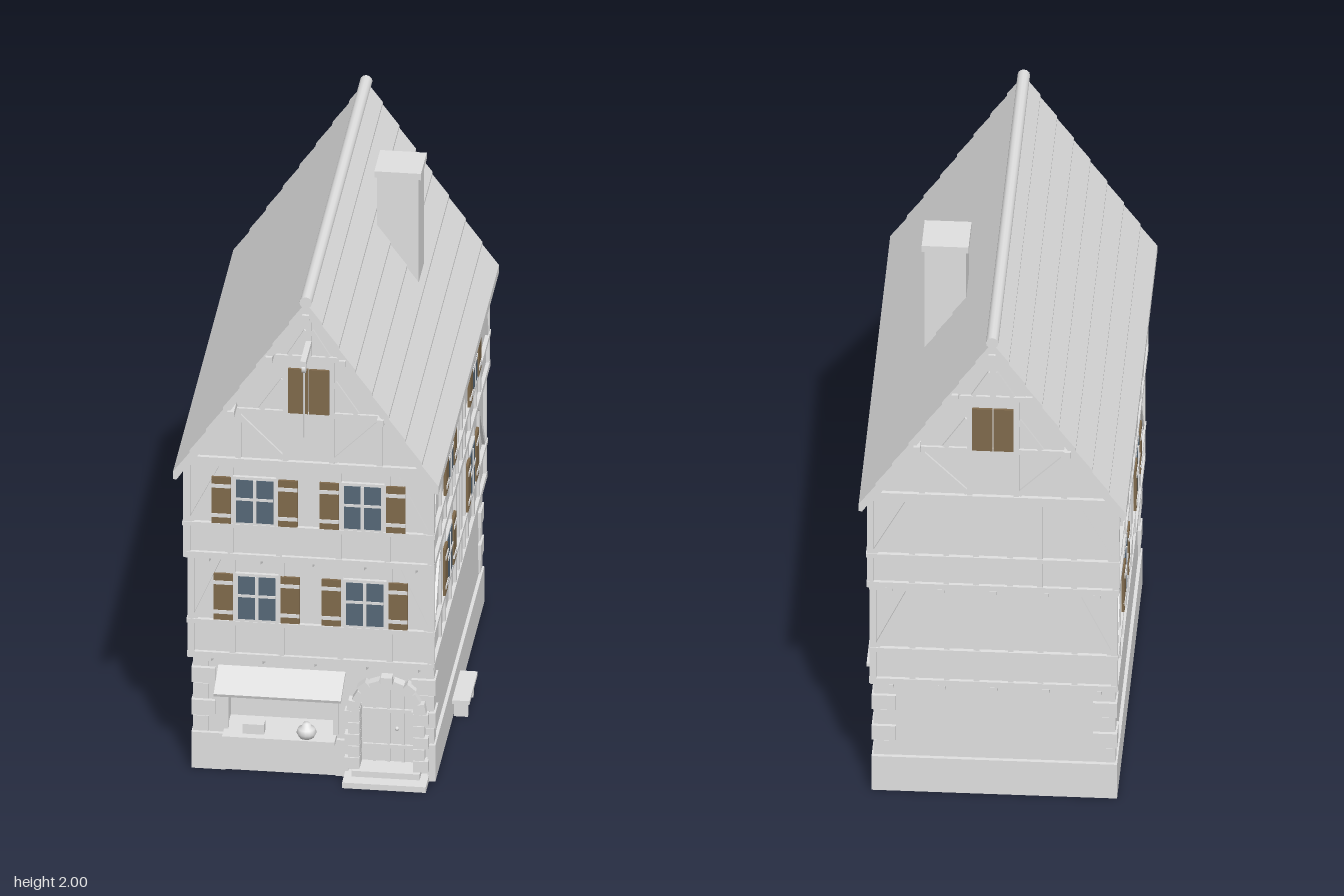
import * as THREE from 'three';

const mat = (name, color) => Object.assign(new THREE.MeshStandardMaterial({ color }), { name });

export function createModel() {
  const grey = mat('paleGrey', 0xe0e0e0);
  const brown = mat('shutterBrown', 0x806a4c);
  const glass = mat('windowGlass', 0x566878);
  const house = new THREE.Group();
  house.name = 'timberHouse';
  const CX = -0.014; // centre line of the house

  const add = (parent, name, geo, m = grey) => {
    const mesh = new THREE.Mesh(geo, m);
    mesh.name = name;
    parent.add(mesh);
    return mesh;
  };
  // box given by its minimum and maximum corners
  const box = (parent, name, x0, x1, y0, y1, z0, z1, m) => {
    const b = add(parent, name, new THREE.BoxGeometry(x1 - x0, y1 - y0, z1 - z0), m);
    b.position.set((x0 + x1) / 2, (y0 + y1) / 2, (z0 + z1) / 2);
    return b;
  };
  // timber between two points on a wall plane, half sunk into the wall
  const beam = (parent, name, u0, v0, u1, v1, w = 0.02, d = 0.02) => {
    const b = add(parent, name, new THREE.BoxGeometry(Math.hypot(u1 - u0, v1 - v0), w, d));
    b.position.set((u0 + u1) / 2, (v0 + v1) / 2, 0);
    b.rotation.z = Math.atan2(v1 - v0, u1 - u0);
  };
  const wallFace = (name, x, z, turn) => {
    const g = new THREE.Group();
    g.name = name;
    g.position.set(x, 0, z);
    g.rotation.y = turn;
    house.add(g);
    return g;
  };
  const extrude = (shape, depth) =>
    new THREE.ExtrudeGeometry(shape, { depth, bevelEnabled: false, curveSegments: 10 });

  // window with cross bars and a pair of strapped shutters
  const addWindow = (wall, u, v) => {
    const g = new THREE.Group();
    g.name = 'window';
    g.position.set(u, v, 0);
    wall.add(g);
    box(g, 'windowFrame', -0.077, 0.077, -0.095, 0.095, 0, 0.013);
    box(g, 'windowGlass', -0.066, 0.066, -0.084, 0.084, 0.01, 0.015, glass);
    box(g, 'windowMullion', -0.006, 0.006, -0.084, 0.084, 0.012, 0.018);
    box(g, 'windowTransom', -0.066, 0.066, 0.004, 0.014, 0.012, 0.018);
    for (const s of [-1, 1]) {
      const c = s * 0.118;
      box(g, 'shutter', c - 0.034, c + 0.034, -0.09, 0.092, 0.008, 0.018, brown);
      for (const y of [-0.058, 0.058])
        box(g, 'shutterStrap', c - 0.034, c + 0.034, y - 0.007, y + 0.007, 0.015, 0.021);
    }
  };

  // ground floor
  box(house, 'plinth', CX - 0.432, CX + 0.432, 0, 0.142, -0.77, 0.49);
  box(house, 'groundWall', CX - 0.42, CX + 0.42, 0.142, 0.48, -0.755, 0.49);
  const front = new THREE.Shape([[-0.434, 0.001], [0.406, 0.001], [0.406, 0.48], [-0.434, 0.48]]
    .map(p => new THREE.Vector2(...p)));
  front.holes.push(new THREE.Path([[-0.32, 0.01], [-0.32, 0.38], [0.06, 0.38], [0.06, 0.01]]
    .map(p => new THREE.Vector2(...p))));
  const DX = 0.247, SPRING = 0.27;
  const arch = new THREE.Path();
  arch.moveTo(DX - 0.1, 0.01);
  arch.lineTo(DX + 0.1, 0.01);
  arch.lineTo(DX + 0.1, SPRING);
  arch.absarc(DX, SPRING, 0.1, 0, Math.PI, false);
  arch.lineTo(DX - 0.1, 0.01);
  front.holes.push(arch);
  add(house, 'groundFront', extrude(front, 0.105)).position.z = 0.49;
  for (const [a, b] of [[CX - 0.432, -0.325], [0.065, 0.11], [0.39, CX + 0.432]])
    box(house, 'frontPlinth', a, b, 0, 0.142, 0.49, 0.61);

  // corner stones
  for (const s of [-1, 1]) for (const [z, t] of [[0.61, -1], [-0.768, 1]])
    for (let i = 0; i < 5; i++) {
      const w = i % 2 ? 0.085 : 0.055, o = i % 2 ? 0 : 0.006;
      const x = CX + s * (0.432 - o), y = 0.146 + i * 0.064, ze = z + t * o;
      box(house, 'cornerStone', Math.min(x, x - s * w), Math.max(x, x - s * w), y, y + 0.059,
        Math.min(ze, ze + t * w), Math.max(ze, ze + t * w));
    }

  // shop with counter, goods and awning
  box(house, 'counterFront', -0.325, 0.065, 0, 0.145, 0.49, 0.605);
  box(house, 'counterTop', -0.33, 0.068, 0.145, 0.162, 0.5, 0.67);
  box(house, 'goodsBox', -0.26, -0.185, 0.162, 0.2, 0.59, 0.64);
  const pot = [[0, 0], [0.026, 0], [0.036, 0.018], [0.03, 0.034], [0.018, 0.04], [0.012, 0.054], [0, 0.056]];
  add(house, 'pot', new THREE.LatheGeometry(pot.map(p => new THREE.Vector2(...p)), 14))
    .position.set(-0.035, 0.162, 0.635);
  const shop = wallFace('shopFrame', 0, 0.6, 0);
  for (const [x, s] of [[-0.325, 1], [0.065, -1]]) {
    beam(shop, 'shopPost', x, 0.16, x, 0.38);
    beam(shop, 'shopBrace', x, 0.3, x + s * 0.07, 0.37, 0.014);
  }
  beam(shop, 'shopLintel', -0.335, 0.378, 0.075, 0.378);
  const awning = box(house, 'awning', -0.35, 0.1, 0.379, 0.391, 0.605, 0.748);
  awning.rotation.x = 0.34;

  // arched door
  const leaf = new THREE.Shape();
  leaf.moveTo(DX - 0.1, 0.01);
  leaf.lineTo(DX + 0.1, 0.01);
  leaf.lineTo(DX + 0.1, SPRING);
  leaf.absarc(DX, SPRING, 0.1, 0, Math.PI, false);
  add(house, 'door', extrude(leaf, 0.02)).position.z = 0.54;
  for (const x of [-0.05, 0, 0.05])
    box(house, 'doorBatten', DX + x - 0.005, DX + x + 0.005, 0.04, 0.34, 0.555, 0.566);
  for (const y of [0.1, 0.24]) box(house, 'doorStrap', DX - 0.09, DX + 0.09, y, y + 0.014, 0.555, 0.569);
  add(house, 'doorKnob', new THREE.SphereGeometry(0.008, 8, 6)).position.set(DX + 0.03, 0.18, 0.57);
  box(house, 'doorStep', DX - 0.148, DX + 0.148, 0, 0.022, 0.5, 0.7);
  box(house, 'doorSill', DX - 0.12, DX + 0.12, 0.022, 0.045, 0.5, 0.65);
  for (const s of [-1, 1]) for (let i = 0; i < 5; i++) {
    const a = DX + s * 0.095, b = DX + s * (i % 2 ? 0.135 : 0.148), y = 0.045 + i * 0.046;
    box(house, 'doorJambStone', Math.min(a, b), Math.max(a, b), y, y + 0.043, 0.55, 0.635);
  }
  for (let i = 0; i < 9; i++) {
    const a = Math.PI * (i + 0.5) / 9, r = i % 2 ? 0.112 : 0.118;
    const stone = add(house, 'archStone', new THREE.BoxGeometry(i % 2 ? 0.034 : 0.044, 0.04, 0.085));
    stone.position.set(DX + r * Math.cos(a), SPRING + r * Math.sin(a), 0.592);
    stone.rotation.z = a;
  }

  // side bench
  box(house, 'benchSeat', 0.415, 0.48, 0.066, 0.08, -0.09, 0.14);
  for (const z of [-0.06, 0.09]) box(house, 'benchLeg', 0.42, 0.47, 0, 0.066, z, z + 0.016);

  // two jettied timber floors
  const floors = [
    { y0: 0.475, y1: 0.895, hw: 0.425, zf: 0.67, zb: -0.8, rail: 0.62, win: 0.722, wz: [0.257, -0.385],
      posts: [0.46, 0.34, 0.17, 0.04, -0.055, -0.115, -0.22, -0.3, -0.47, -0.62], run: 0.19 },
    { y0: 0.9, y1: 1.29, hw: 0.432, zf: 0.73, zb: -0.83, rail: 1.035, win: 1.135, wz: [0.29, -0.39],
      posts: [0.51, 0.375, 0.2, 0.13, 0.03, -0.075, -0.16, -0.3, -0.475, -0.6], run: 0.1 },
  ];
  for (const f of floors) {
    box(house, 'plasterWall', CX - f.hw, CX + f.hw, f.y0, f.y1, f.zb, f.zf);
    const lo = f.y0 + 0.012, hi = f.y1 - 0.012;
    const rails = (wall, a, b) => {
      beam(wall, 'sillBeam', a - 0.01, lo, b + 0.01, lo, 0.024, 0.026);
      beam(wall, 'topBeam', a - 0.01, hi, b + 0.01, hi, 0.024, 0.026);
      beam(wall, 'middleRail', a - 0.015, f.rail, b + 0.015, f.rail, 0.016, 0.03);
      for (const u of [a, b]) beam(wall, 'cornerPost', u, lo, u, hi, 0.024, 0.022);
    };
    // long sides
    for (const s of [1, -1]) {
      const wall = wallFace(s > 0 ? 'rightTimbers' : 'leftTimbers', CX + s * f.hw, 0, s * Math.PI / 2);
      const a = Math.min(-s * f.zf, -s * f.zb), b = Math.max(-s * f.zf, -s * f.zb);
      rails(wall, a, b);
      for (const z of f.posts) beam(wall, 'post', -s * z, lo, -s * z, hi);
      beam(wall, 'brace', a + 0.02, f.rail, a + 0.02 + f.run, hi);
      beam(wall, 'brace', b - 0.02, f.rail, b - 0.02 - f.run, hi);
      for (const z of f.wz) addWindow(wall, -s * z, f.win);
    }
    // front with windows, back with posts only
    const fw = wallFace('frontTimbers', CX, f.zf, 0);
    const bw = wallFace('backTimbers', CX, f.zb, Math.PI);
    rails(fw, -f.hw, f.hw);
    rails(bw, -f.hw, f.hw);
    for (const s of [-1, 1]) {
      for (const u of [0.105, 0.278]) beam(fw, 'post', s * u, lo, s * u, hi);
      for (const u of [0.06, 0.165, 0.285]) beam(bw, 'post', s * u, lo, s * u, hi);
      addWindow(fw, s * 0.191, f.win);
      beam(fw, 'brace', s * (f.hw - 0.01), f.rail, s * 0.3, hi);
      beam(bw, 'brace', s * (f.hw - 0.01), f.rail, s * 0.29, hi);
    }
    // brackets carrying the overhang
    const bracket = new THREE.Shape([[-0.03, 0], [0.06, 0], [0.06, -0.018], [-0.03, -0.055]]
      .map(p => new THREE.Vector2(...p)));
    for (const wall of [fw, bw]) for (let i = -2; i <= 2; i++) {
      const m = add(wall, 'bracket', extrude(bracket, 0.024));
      m.rotation.y = -Math.PI / 2;
      m.position.set(i * 0.183 + 0.012, f.y0 + 0.002, wall === fw ? -0.055 : -0.045);
    }
  }

  // gables
  const tri = new THREE.Shape([[-0.43, 1.285], [0.43, 1.285], [0, 1.935]].map(p => new THREE.Vector2(...p)));
  const gable = add(house, 'gableWall', extrude(tri, 1.56));
  gable.position.set(CX, 0, -0.83);
  for (const [name, z, turn] of [['frontGable', 0.73, 0], ['backGable', -0.83, Math.PI]]) {
    const g = wallFace(name, CX, z, turn);
    beam(g, 'gableSill', -0.42, 1.292, 0.42, 1.292, 0.02, 0.03);
    beam(g, 'gableRail', -0.275, 1.49, 0.275, 1.49);
    beam(g, 'collar', -0.135, 1.71, 0.135, 1.71);
    beam(g, 'kingPost', 0, 1.71, 0, 1.93);
    for (const s of [-1, 1]) {
      beam(g, 'rafter', s * 0.42, 1.285, 0, 1.92, 0.024, 0.03);
      beam(g, 'gablePost', s * 0.25, 1.3, s * 0.25, 1.49);
      beam(g, 'gablePost', s * 0.082, 1.3, s * 0.082, 1.71);
      beam(g, 'gableBrace', s * 0.25, 1.47, s * 0.09, 1.31);
      beam(g, 'gableBrace', s * 0.17, 1.5, s * 0.09, 1.62);
      beam(g, 'gableBrace', s * 0.07, 1.72, s * 0.01, 1.82, 0.016);
      box(g, 'loftShutter', s > 0 ? 0.002 : -0.073, s > 0 ? 0.073 : -0.002, 1.495, 1.67, 0.006, 0.016, brown);
    }
  }

  // roof with stepped tile courses
  const N = 8, HALF = 0.47, EAVE = 1.268, RIDGE = 1.975;
  const right = [];
  for (let i = 0; i < N; i++) for (const [k, lift] of [[i, 0], [i + 1, 0.01]])
    right.push([HALF * k / N, RIDGE + (EAVE - RIDGE) * k / N + lift]);
  const outline = [...right, [HALF, EAVE - 0.02], [HALF - 0.012, EAVE - 0.022], [0, RIDGE - 0.045],
    [-HALF + 0.012, EAVE - 0.022], [-HALF, EAVE - 0.02], ...right.slice(1).reverse().map(([x, y]) => [-x, y])];
  const roof = add(house, 'roof', extrude(new THREE.Shape(outline.map(p => new THREE.Vector2(...p))), 1.705));
  roof.position.set(CX, 0, -0.883);
  const ridge = add(house, 'ridgeCap', new THREE.CylinderGeometry(0.022, 0.022, 1.71, 12));
  ridge.rotation.x = Math.PI / 2;
  ridge.position.set(CX, 1.976, -0.03);
  for (const [x, y] of [[-0.265, 1.52], [0.265, 1.52], [-0.13, 1.745], [0.13, 1.745], [0, 1.918]])
    box(house, 'purlin', CX + x - 0.012, CX + x + 0.012, y - 0.012, y + 0.012, -0.894, 0.834);

  // chimney
  box(house, 'chimney', 0.115, 0.262, 1.5, 1.975, -0.31, -0.165);
  box(house, 'chimneyCap', 0.106, 0.271, 1.975, 2, -0.32, -0.156);

  // loft hoist
  box(house, 'hoistBeam', CX - 0.01, CX + 0.01, 1.762, 1.782, 0.72, 0.9);
  const wheel = add(house, 'hoistWheel', new THREE.CylinderGeometry(0.018, 0.018, 0.014, 14));
  wheel.rotation.z = Math.PI / 2;
  wheel.position.set(CX, 1.744, 0.872);
  const rope = add(house, 'hoistRope', new THREE.CylinderGeometry(0.0035, 0.0035, 0.27, 6));
  rope.position.set(CX, 1.605, 0.874);
  return house;
}
